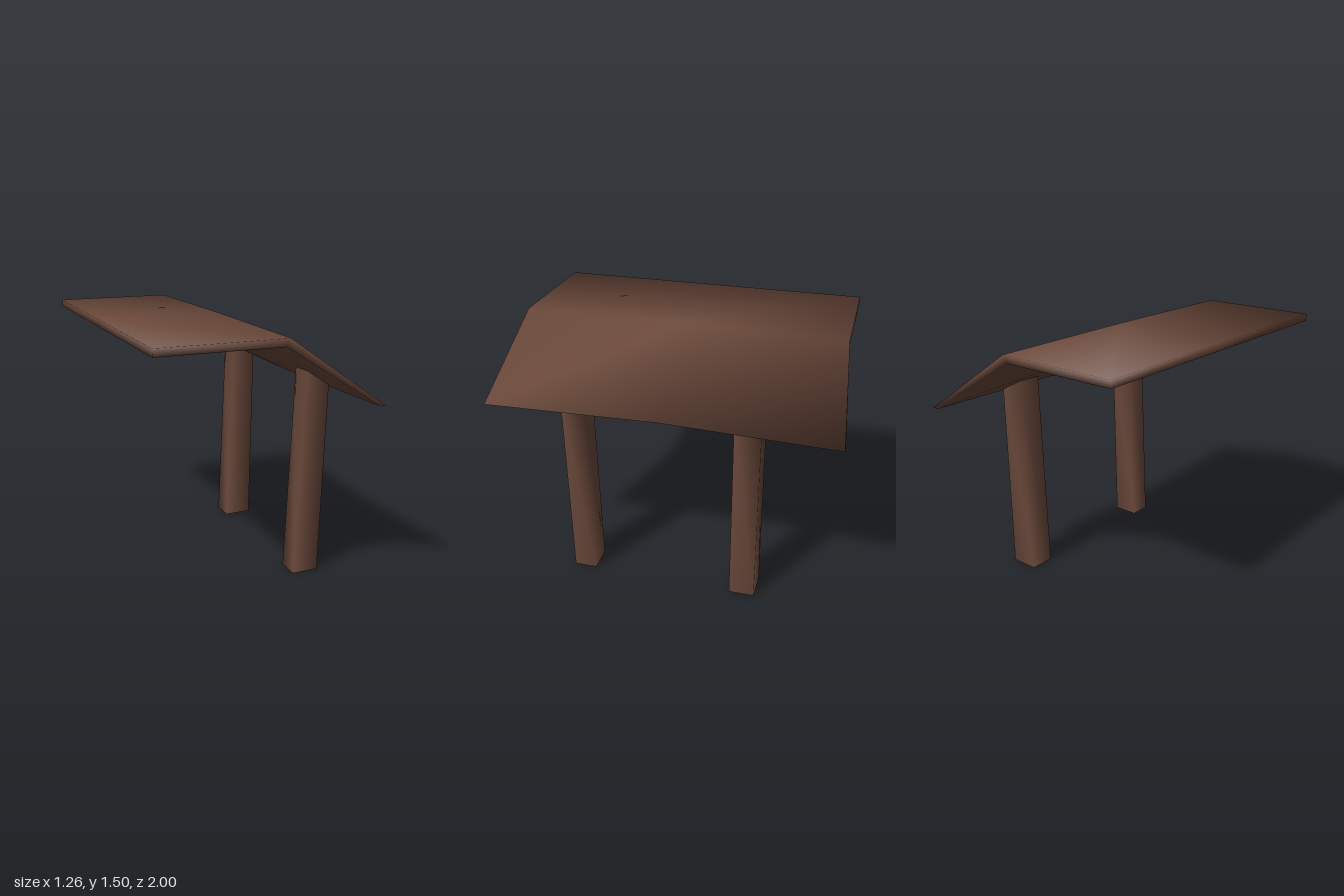
import * as THREE from 'three';

// Skin closed rings of points into one smooth surface; caps lists triangles that close the last ring
function loft(rings, caps = []) {
  const n = rings[0].length, index = [];
  for (let s = 0; s < rings.length - 1; s++) {
    for (let i = 0; i < n; i++) {
      const j = (i + 1) % n;
      const a = s * n + i, b = s * n + j, c = b + n, d = a + n;
      index.push(a, d, c, a, c, b);
    }
  }
  const last = (rings.length - 1) * n;
  for (const [p, q, r] of caps) index.push(r, q, p, last + p, last + q, last + r);

  const points = rings.flat().map((p) => new THREE.Vector3(...p));
  const normals = points.map(() => new THREE.Vector3());
  const tri = new THREE.Triangle(), faceNormal = new THREE.Vector3();
  // Every face counts equally, giving soft shading right round the edges
  for (let k = 0; k < index.length; k += 3) {
    const ids = index.slice(k, k + 3);
    tri.set(...ids.map((id) => points[id])).getNormal(faceNormal);
    ids.forEach((id) => normals[id].add(faceNormal));
  }
  const geometry = new THREE.BufferGeometry().setFromPoints(points);
  const flat = normals.flatMap((v) => v.normalize().toArray());
  geometry.setAttribute('normal', new THREE.Float32BufferAttribute(flat, 3));
  geometry.setIndex(index);
  return geometry;
}

export function createModel() {
  const group = new THREE.Group();
  const wood = new THREE.MeshStandardMaterial({ color: 0x6b493b, side: THREE.DoubleSide });
  wood.name = 'brown wood';

  const add = (name, geometry) => {
    const mesh = new THREE.Mesh(geometry, wood);
    mesh.name = name;
    group.add(mesh);
  };

  // Roof: flat slab bending down to an eave that is set back in the middle
  const roofSection = (side) => {
    const mid = side === 0;
    const z = side * 0.94, eaveZ = side;
    return [
      [-0.63, 1.5, z],
      [0.09, mid ? 1.505 : 1.5, z],
      [mid ? 0.585 : 0.63, 1.12, eaveZ],
      [mid ? 0.56 : 0.59, 1.12, eaveZ],
      [mid ? -0.08 : 0.07, 1.457, z],
      [-0.63, 1.457, z],
    ];
  };
  add('roof', loft([-1, 0, 1].map(roofSection),
    [[0, 5, 4], [0, 4, 1], [1, 4, 3], [1, 3, 2]]));

  // Posts: open square tubes leaning slightly, cut to the slope of the roof
  const post = (z0, z1, footX) => {
    const ring = (x0, x1, y0, y1) => [[x1, y1, z1], [x0, y0, z1], [x0, y0, z0], [x1, y1, z0]];
    return loft([ring(0.355, footX, 0, 0), ring(0.40, 0.54, 1.245, 1.155)]);
  };
  add('frontPost', post(0.44, 0.575, 0.515));
  add('backPost', post(-0.56, -0.41, 0.525));

  return group;
}
